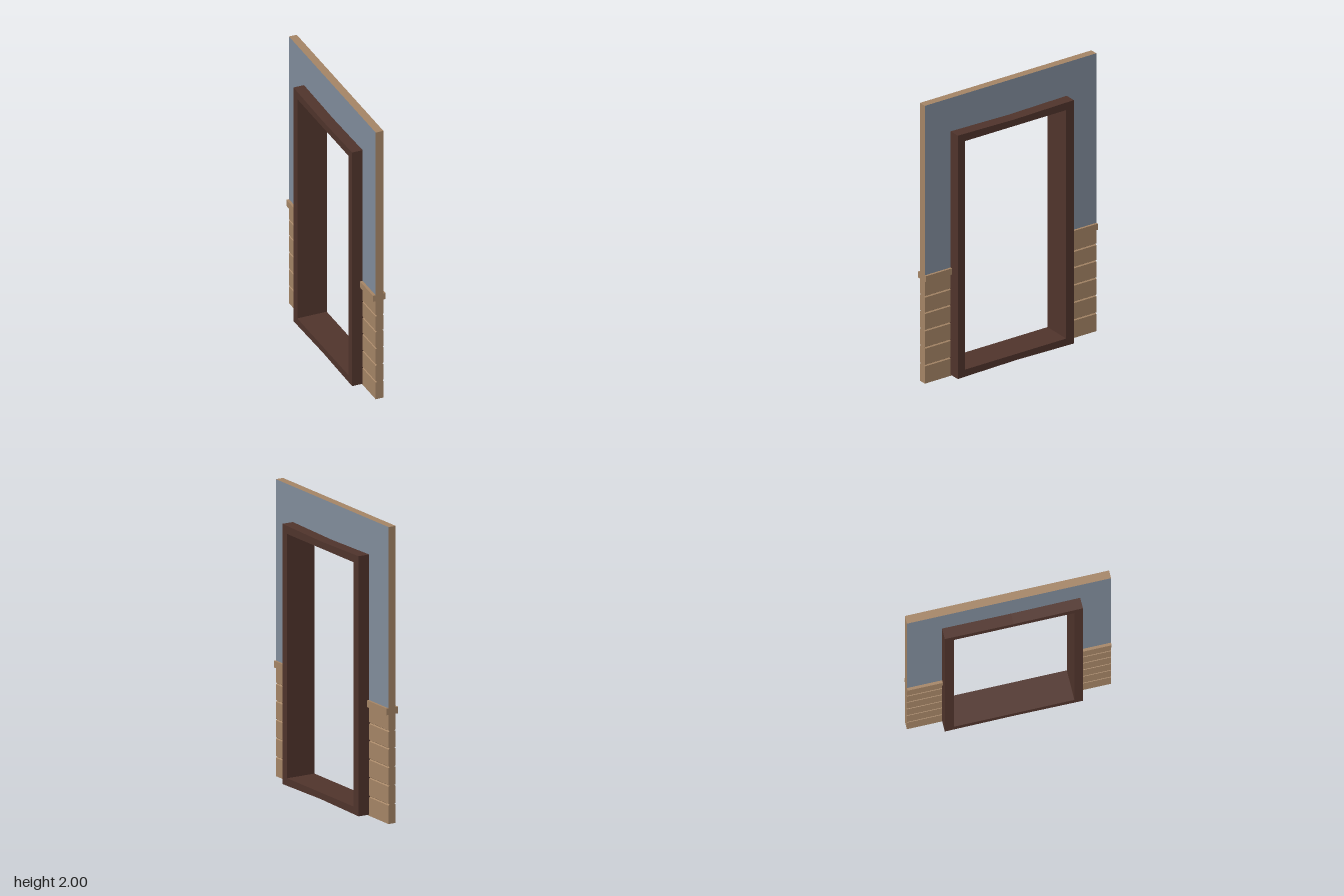
import * as THREE from 'three';

const paint = (color) => new THREE.MeshStandardMaterial({ color });
const shapeOf = (pts) => new THREE.Shape(pts.map(([a, b]) => new THREE.Vector2(a, b)));

const X0 = -0.03, X1 = 0.025;      // wall faces
const BACK = -0.68, FRONT = 0.68;  // wall ends
const RAIL_BOTTOM = 0.735, RAIL_TOP = 0.78;

export function createModel() {
  const group = new THREE.Group();
  const tan = paint(0xa58566), blue = paint(0x818d9c), brown = paint(0x50342c);

  const add = (name, geometry, material) => {
    const mesh = new THREE.Mesh(geometry, material);
    mesh.name = name;
    group.add(mesh);
    return mesh;
  };

  // Extrude a (z, y) outline across the wall thickness
  const acrossX = (shape, x0, x1) =>
    new THREE.ExtrudeGeometry(shape, { depth: x1 - x0, bevelEnabled: false })
      .rotateY(-Math.PI / 2).translate(x1, 0, 0);

  // Painted wall: blue faces, tan cut edges, arching over the doorway
  const base = 0.757;
  const wall = shapeOf([
    [BACK, base], [-0.42, base], [-0.42, 1.73], [0.45, 1.73],
    [0.45, base], [FRONT, base], [FRONT, 2], [BACK, 2],
  ]);
  add('upperWall', acrossX(wall, X0, X1), [blue, tan]);

  // Door frame, its head and sill slightly bowed inward
  const frame = shapeOf([
    [-0.445, 0.008], [0.015, 0.016], [0.475, 0.008],
    [0.475, 1.76], [0.015, 1.752], [-0.445, 1.76],
  ]);
  frame.holes.push(shapeOf([[-0.385, 0.06], [-0.385, 1.705], [0.418, 1.705], [0.418, 0.06]]));
  add('doorFrame', acrossX(frame, -0.105, 0.105), brown);

  // Plank cladding profile with a narrow groove between boards on both faces
  const grooves = [0.13, 0.257, 0.382, 0.507, 0.625];
  const half = 0.006, depth = 0.009;
  const right = [], left = [];
  for (const y of grooves) {
    right.push([X1, y - half], [X1 - depth, y], [X1, y + half]);
    left.unshift([X0, y + half], [X0 + depth, y], [X0, y - half]);
  }
  const planks = shapeOf([[X0, 0], [X1, 0], ...right, [X1, base], [X0, base], ...left]);

  // Cladding and rail either side of the doorway
  for (const [side, z0, z1] of [['back', BACK, -0.42], ['front', 0.45, FRONT]]) {
    const cladding = new THREE.ExtrudeGeometry(planks, { depth: z1 - z0, bevelEnabled: false });
    add(side + 'Cladding', cladding.translate(0, 0, z0), tan);

    const rail = new THREE.BoxGeometry(0.09, RAIL_TOP - RAIL_BOTTOM, z1 - z0);
    add(side + 'Rail', rail, tan)
      .position.set(-0.004, (RAIL_TOP + RAIL_BOTTOM) / 2, (z0 + z1) / 2);
  }
  return group;
}
